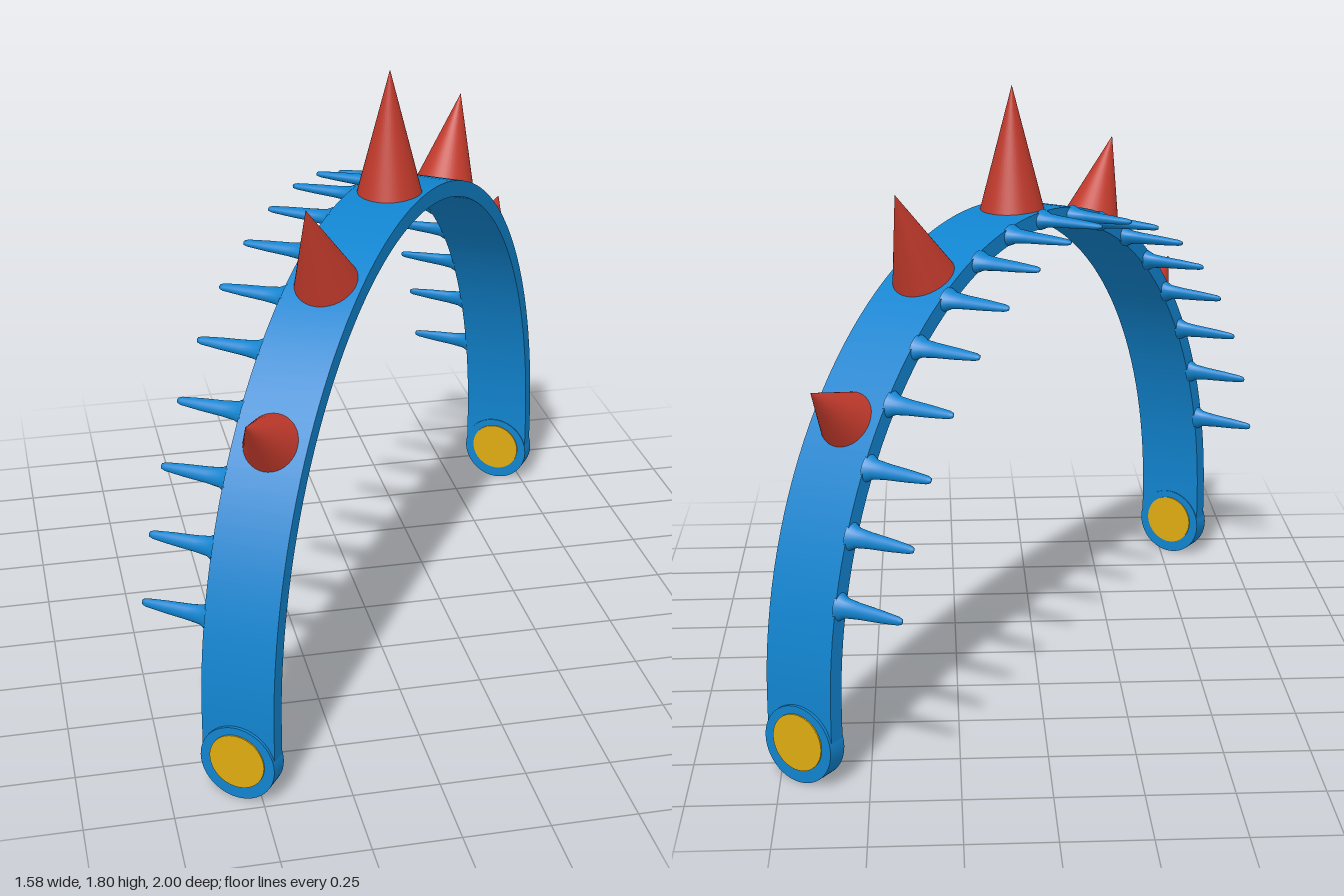
import * as THREE from 'three';
import { toCreasedNormals } from 'three/addons/utils/BufferGeometryUtils.js';

// Arch: a half ellipse standing on short straight legs
const BASE_Y = 0.227, WIDTH = 0.22, END_Y = 0.113;
const OUTER = { a: 1.095, b: 1.203 }, MID = { a: 1.07, b: 1.178 }, INNER = { a: 1.045, b: 1.153 };

// Point on an ellipse, angle measured from the top
const onArch = (e, t) => new THREE.Vector2(e.a * Math.sin(t), BASE_Y + e.b * Math.cos(t));

export function createModel() {
  const blue = new THREE.MeshStandardMaterial({ color: 0x1184cf });
  blue.name = 'blue';
  const red = new THREE.MeshStandardMaterial({ color: 0xc0392b });
  red.name = 'red';
  const gold = new THREE.MeshStandardMaterial({ color: 0xdfac10 });
  gold.name = 'gold';

  const model = new THREE.Group();
  model.name = 'spikedHeadband';
  const add = (name, geometry, material) => {
    const mesh = new THREE.Mesh(geometry, material);
    mesh.name = name;
    model.add(mesh);
    return mesh;
  };

  // Band, extruded across its width
  const N = 72, points = [new THREE.Vector2(-OUTER.a, END_Y)];
  for (let i = 0; i <= N; i++) points.push(onArch(OUTER, (i / N - 0.5) * Math.PI));
  points.push(new THREE.Vector2(OUTER.a, END_Y), new THREE.Vector2(INNER.a, END_Y));
  for (let i = N; i >= 0; i--) points.push(onArch(INNER, (i / N - 0.5) * Math.PI));
  points.push(new THREE.Vector2(-INNER.a, END_Y));
  const band = new THREE.ExtrudeGeometry(new THREE.Shape(points), { depth: WIDTH, bevelEnabled: false });
  band.translate(0, 0, -WIDTH / 2);
  add('band', toCreasedNormals(band, 0.6), blue);

  // Rounded ends with a gold disc showing on both faces
  const endDisc = new THREE.CylinderGeometry(0.113, 0.113, 0.062, 48).rotateZ(Math.PI / 2);
  const goldDisc = new THREE.CylinderGeometry(0.083, 0.083, 0.07, 48).rotateZ(Math.PI / 2);
  for (const side of [-1, 1]) {
    add('bandEnd', endDisc, blue).position.set(side * 1.073, END_Y, 0);
    add('endDisc', goldDisc, gold).position.set(side * 1.073, END_Y + 0.007, 0);
  }

  // Red spikes along the outside, shrinking towards the sides
  const SINK = 0.015;
  const spikes = [[0, 0.1, 0.37], [0.444, 0.096, 0.285], [0.89, 0.087, 0.187]];
  for (const [angle, radius, height] of spikes) {
    const cone = new THREE.ConeGeometry(radius, height + SINK, 40);
    cone.translate(0, (height - SINK) / 2, 0);
    for (const side of angle ? [-1, 1] : [1]) {
      const t = side * angle, p = onArch(OUTER, t);
      const spike = add('spike', cone, red);
      spike.position.set(p.x, p.y, 0);
      spike.rotation.z = -Math.atan2(Math.sin(t) / OUTER.a, Math.cos(t) / OUTER.b);
    }
  }

  // Comb teeth along the back edge, flared where they meet the band
  const profile = [[0.042, -0.005], [0.028, 0.02], [0.023, 0.06], [0.018, 0.13], [0.012, 0.19], [0.008, 0.201], [0, 0.205]];
  const tooth = new THREE.LatheGeometry(profile.map(([r, y]) => new THREE.Vector2(r, y)), 20);
  tooth.rotateX(-Math.PI / 2);
  tooth.scale(1, 0.75, 1);
  for (let i = -8; i <= 8; i++) {
    const t = THREE.MathUtils.degToRad(i * 9.45), p = onArch(MID, t);
    const mesh = add('tooth', tooth, blue);
    mesh.position.set(p.x, p.y, -WIDTH / 2);
    mesh.rotation.z = -t;
  }

  // The headband stands turned about the vertical axis
  model.rotation.y = 0.962;
  model.position.set(0.067, 0, 0.035);
  const root = new THREE.Group();
  root.name = 'model';
  root.add(model);
  return root;
}
